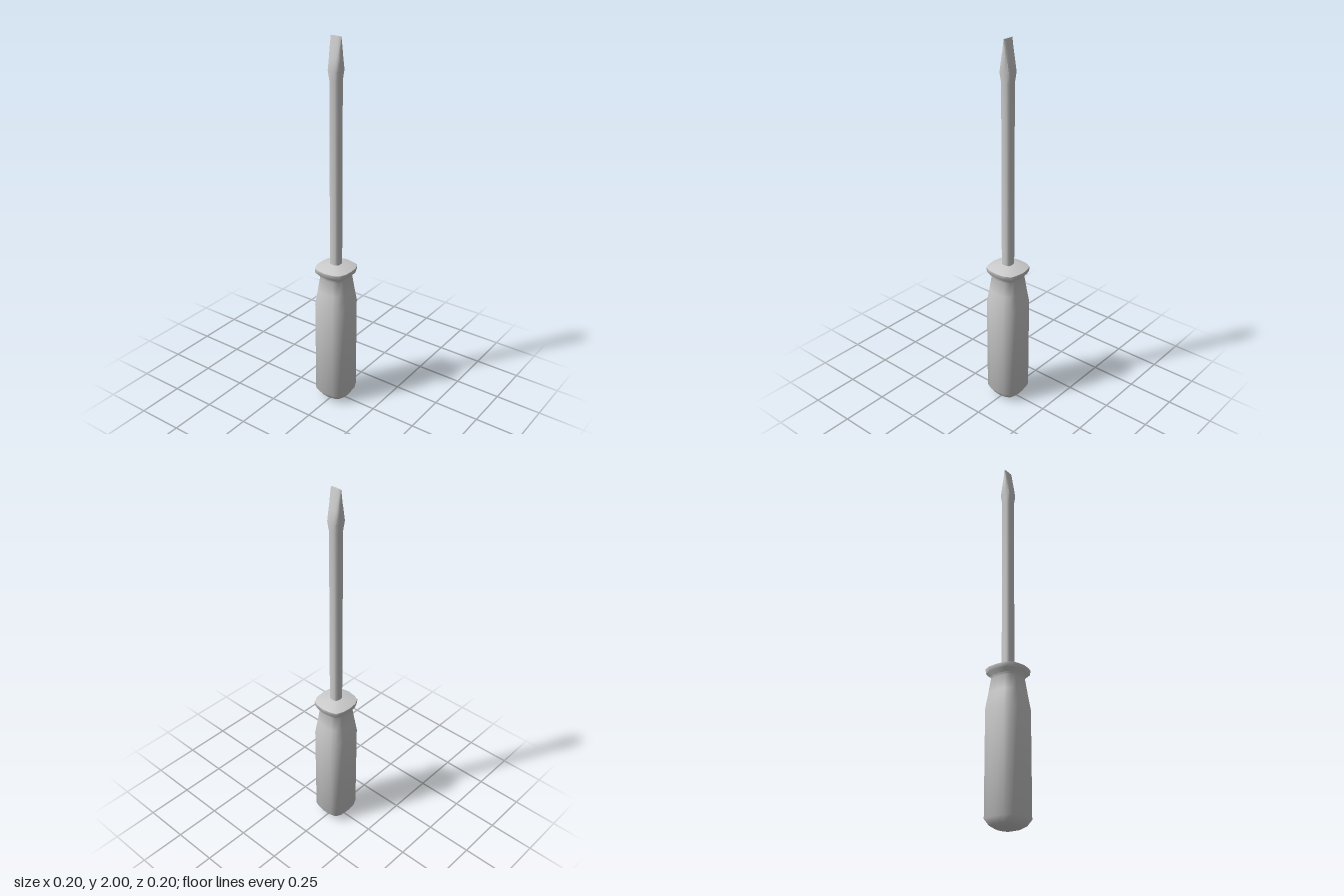
import * as THREE from 'three';
import { toCreasedNormals } from 'three/addons/utils/BufferGeometryUtils.js';

// One quadrant of the rounded-square section, turned into a full 16-sided loop
const quadrant = [[1, 0], [0.93, 0.45], [0.82, 0.76], [0.45, 0.94]];
const section = [];
for (let i = 0; i < 16; i++) {
  const k = i % 8;
  const [x, z] = k < 4 ? quadrant[k] : k === 4 ? [0, 0.98] : [-quadrant[8 - k][0], quadrant[8 - k][1]];
  section.push(i < 8 ? [x, z] : [-x, -z]);
}

// Skins a stack of [y, halfWidthX, halfWidthZ] rings and closes both ends
function loft(rings, crease) {
  const n = section.length, pos = [], index = [];
  for (const [y, rx, rz] of rings) for (const [x, z] of section) pos.push(x * rx, y, z * rz);
  for (let i = 0; i < rings.length - 1; i++) {
    for (let j = 0; j < n; j++) {
      const a = i * n + j, b = i * n + (j + 1) % n;
      index.push(a, a + n, b, b, a + n, b + n);
    }
  }
  const bottom = pos.length / 3, top = bottom + 1, last = (rings.length - 1) * n;
  pos.push(0, rings[0][0], 0, 0, rings[rings.length - 1][0], 0);
  for (let j = 0; j < n; j++) {
    const k = (j + 1) % n;
    index.push(bottom, j, k, top, last + k, last + j);
  }
  const g = new THREE.BufferGeometry();
  g.setAttribute('position', new THREE.Float32BufferAttribute(pos, 3));
  g.setIndex(index);
  return toCreasedNormals(g, crease);
}

export function createModel() {
  const group = new THREE.Group();
  const material = new THREE.MeshStandardMaterial({ color: 0xcccccc });
  const add = (name, geometry) => {
    const mesh = new THREE.Mesh(geometry, material);
    mesh.name = name;
    group.add(mesh);
  };

  // Grip with domed butt, tapered neck and flared collar
  add('handle', loft([
    [0, 0.03, 0.03], [0.007, 0.058, 0.058], [0.02, 0.08, 0.08], [0.05, 0.102, 0.1],
    [0.59, 0.102, 0.1], [0.67, 0.089, 0.087], [0.75, 0.077, 0.075], [0.76, 0.08, 0.078],
    [0.775, 0.1, 0.098], [0.8, 0.102, 0.1], [0.822, 0.028, 0.028],
  ], 1.0));

  // Straight shaft, swelling slightly and narrowing to a flat blade along z
  add('shaftAndBlade', loft([
    [0.8, 0.029, 0.029], [1.79, 0.029, 0.029], [1.84, 0.036, 0.036],
    [1.9, 0.024, 0.036], [1.95, 0.014, 0.034], [2, 0.004, 0.031],
  ], 0.8));

  return group;
}
